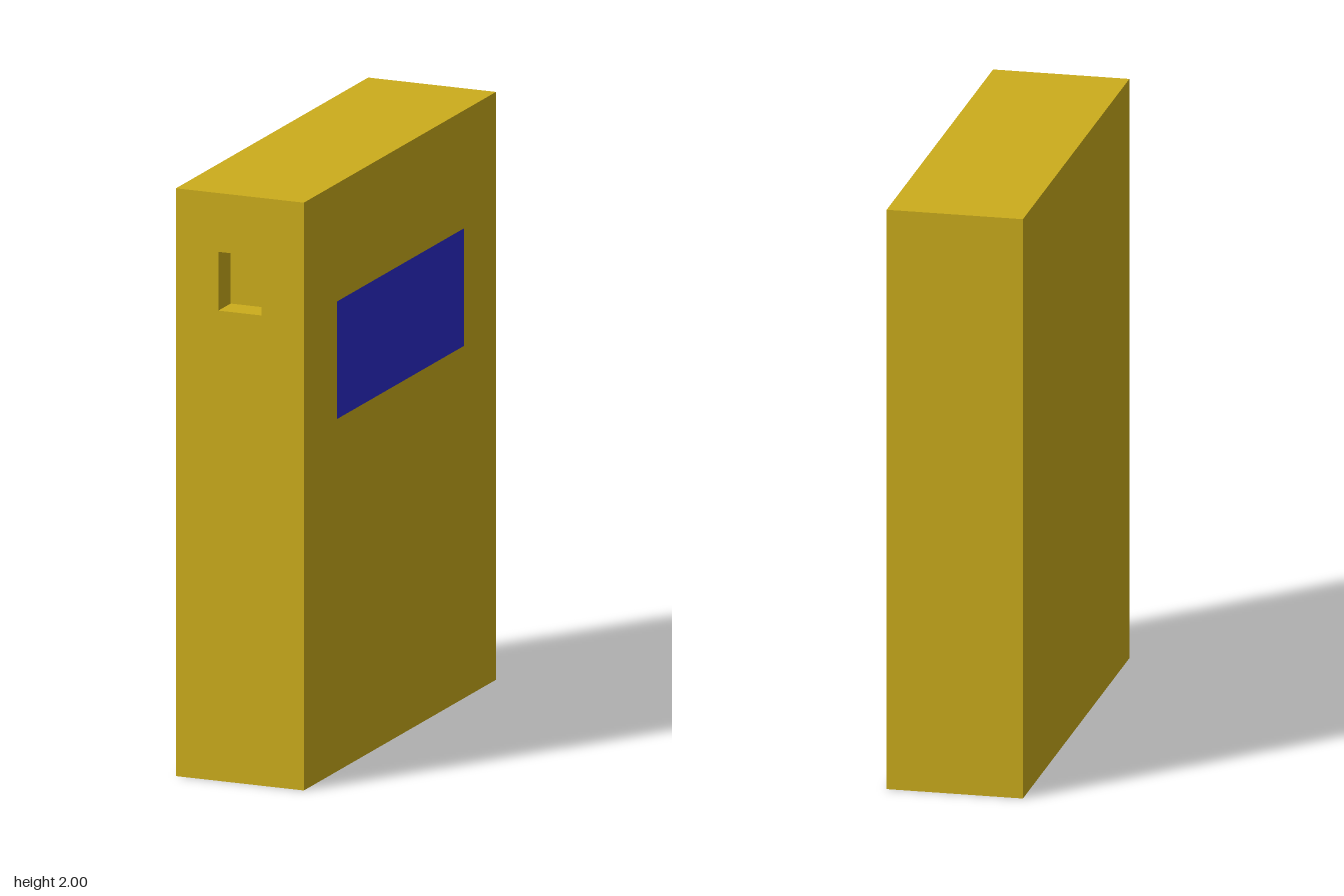
import * as THREE from 'three';
import { mergeGeometries } from 'three/addons/utils/BufferGeometryUtils.js';

const W = 0.46, H = 2, D = 1.565;                 // case size
const SLOT = { w: 0.155, h: 0.2, d: 0.1, y: 1.7 }; // recess in the front

// Box without its +z face; inward = true turns the faces to the inside
function openBox(w, h, d, y, z, inward = false) {
  const g = new THREE.BoxGeometry(w, h, d).translate(0, y, z);
  const index = Array.from(g.index.array).filter((_, i) => i < 24 || i >= 30);
  if (inward) {
    index.reverse();
    const n = g.attributes.normal.array;
    for (let i = 0; i < n.length; i++) n[i] = -n[i];
  }
  g.setIndex(index);
  return g;
}

function rectangle(path, w, h, y) {
  return path.moveTo(-w / 2, y - h / 2).lineTo(w / 2, y - h / 2)
    .lineTo(w / 2, y + h / 2).lineTo(-w / 2, y + h / 2).closePath();
}

export function createModel() {
  const model = new THREE.Group();
  model.name = 'slabCase';

  // Front panel with the square opening
  const front = rectangle(new THREE.Shape(), W, H, H / 2);
  front.holes.push(rectangle(new THREE.Path(), SLOT.w, SLOT.h, SLOT.y));
  const frontPanel = new THREE.ShapeGeometry(front).translate(0, 0, D / 2);

  // Case: outer shell, front panel and blind recess as one closed surface
  const body = new THREE.Mesh(
    mergeGeometries([
      openBox(W, H, D, H / 2, 0),
      frontPanel,
      openBox(SLOT.w, SLOT.h, SLOT.d, SLOT.y, D / 2 - SLOT.d / 2, true),
    ]),
    new THREE.MeshStandardMaterial({ color: 0xccad1c })
  );
  body.name = 'case';
  model.add(body);

  // Blue panel lying on the +x side
  const panel = new THREE.Mesh(
    new THREE.PlaneGeometry(1.03, 0.4),
    new THREE.MeshStandardMaterial({ color: 0x2d2dcc })
  );
  panel.name = 'sidePanel';
  panel.rotation.y = Math.PI / 2;
  panel.position.set(W / 2 + 0.002, 1.4, 0);
  model.add(panel);

  return model;
}
